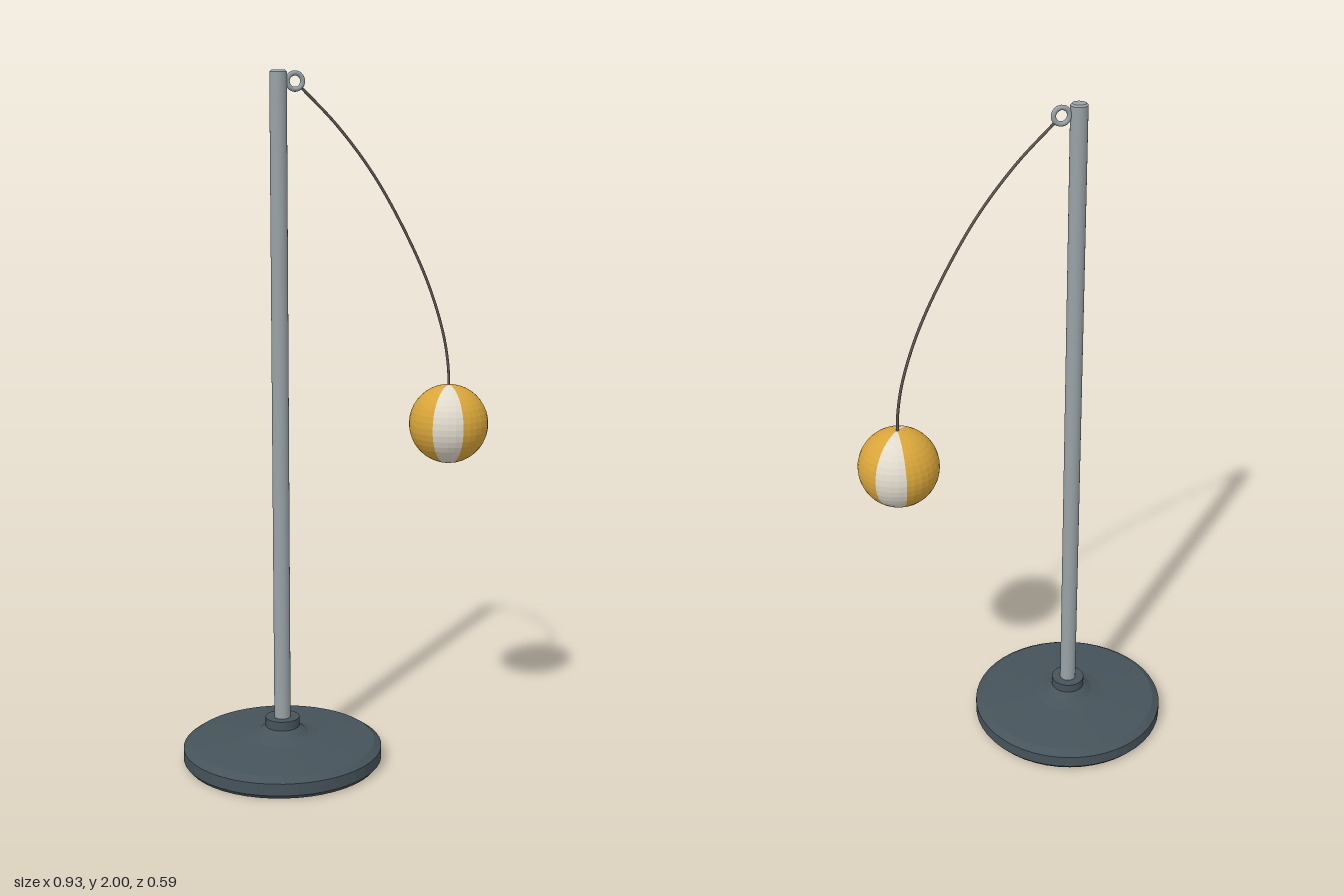
import * as THREE from 'three';

const paint = (color, extra = {}) => Object.assign(new THREE.MeshStandardMaterial({ color }), extra);
const v2 = (pairs) => pairs.map(([x, y]) => new THREE.Vector2(x, y));

const POLE_X = -0.17;
const BALL = { x: 0.346, y: 0.985, r: 0.117 };

export function createModel() {
  const model = new THREE.Group();
  model.name = 'tetherball';

  const add = (name, geometry, material, x = 0, y = 0, parent = model) => {
    const mesh = new THREE.Mesh(geometry, material);
    mesh.name = name;
    mesh.position.set(x, y, 0);
    parent.add(mesh);
    return mesh;
  };

  const iron = paint(0x46535a, { flatShading: true });
  const steel = paint(0x98a2a6);

  // Weighted base: chamfered disc, sloping shoulder and collar
  const baseProfile = v2([
    [0, 0], [0.283, 0], [0.293, 0.012], [0.293, 0.047], [0.272, 0.062],
    [0.105, 0.078], [0.076, 0.087], [0.05, 0.106], [0.05, 0.133], [0, 0.133],
  ]);
  add('base', new THREE.LatheGeometry(baseProfile, 48), iron, POLE_X);

  // Pole with a slightly bevelled top
  const pole = new THREE.CylinderGeometry(0.024, 0.024, 1.87, 24, 1, true);
  add('pole', pole, steel, POLE_X, 0.125 + 1.87 / 2);
  const capProfile = v2([[0.024, 0], [0.019, 0.005], [0, 0.005]]);
  add('poleCap', new THREE.LatheGeometry(capProfile, 24), paint(0x98a2a6, { flatShading: true }), POLE_X, 1.995);

  // Eyelet on the side of the pole
  add('eyelet', new THREE.TorusGeometry(0.022, 0.007, 12, 28), steel, -0.122, 1.97);

  // Rope swinging out from the eyelet and dropping onto the ball
  const path = new THREE.CatmullRomCurve3([
    [-0.106, 1.955], [0, 1.85], [0.105, 1.718], [0.2, 1.56],
    [0.277, 1.4], [0.325, 1.255], [0.342, 1.16], [0.346, 1.09],
  ].map(([x, y]) => new THREE.Vector3(x, y, 0)));
  add('rope', new THREE.TubeGeometry(path, 64, 0.0042, 8), paint(0x5f5750));

  // Ball: two wide yellow panels separated by two narrow cream ones
  const ball = new THREE.Group();
  ball.name = 'ball';
  ball.position.set(BALL.x, BALL.y, 0);
  model.add(ball);
  const yellow = paint(0xd9a53a, { flatShading: true });
  const cream = paint(0xe0dacc, { flatShading: true });
  const step = Math.PI / 4;
  for (const half of [0, 4]) {
    add('creamPanel', new THREE.SphereGeometry(BALL.r, 4, 20, (half + 1) * step, step), cream, 0, 0, ball);
    add('yellowPanel', new THREE.SphereGeometry(BALL.r, 12, 20, (half + 2) * step, 3 * step), yellow, 0, 0, ball);
  }

  return model;
}
